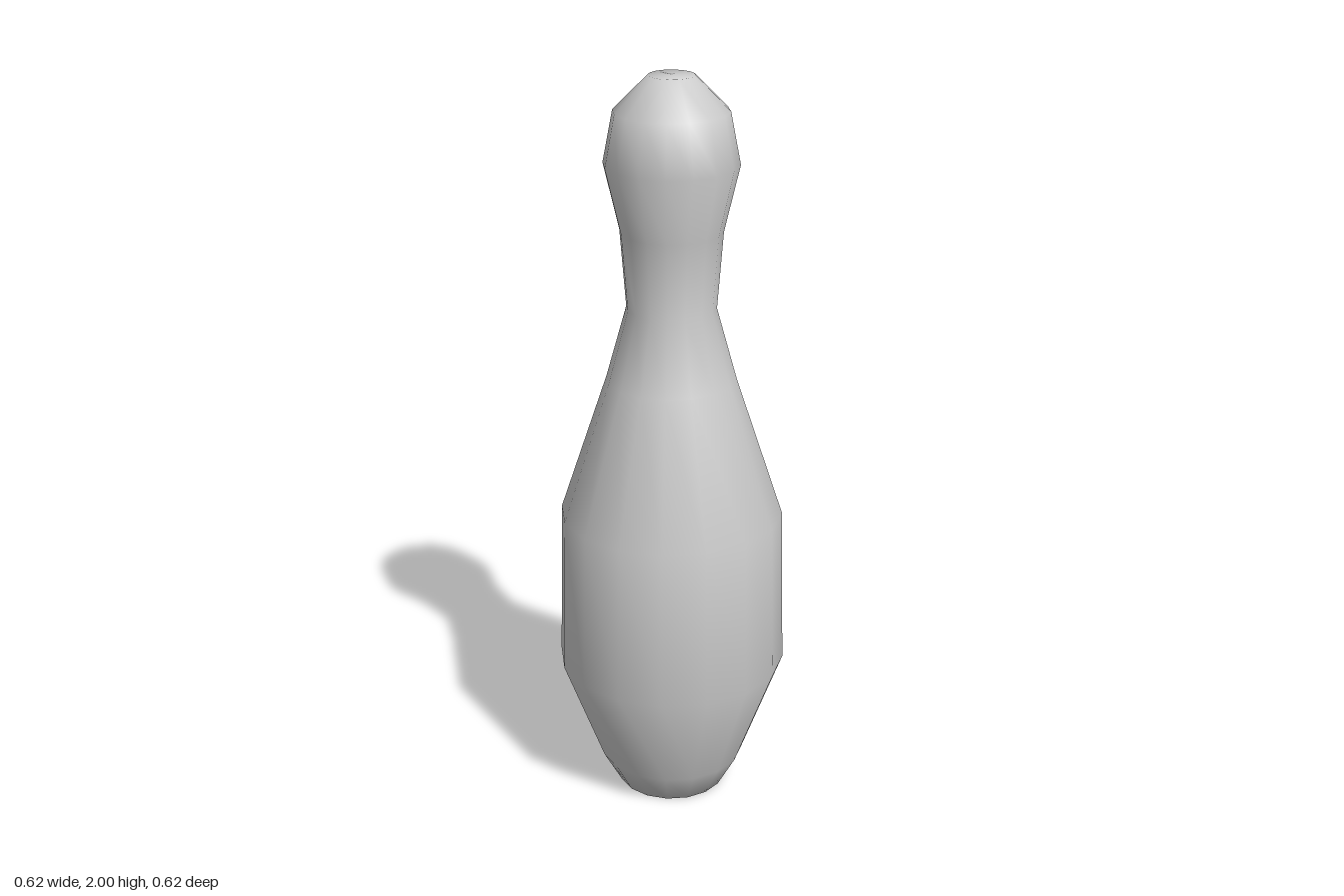
import * as THREE from 'three';

// Smooth, 16-sided turned skittle
export function createModel() {
  const group = new THREE.Group();
  group.name = 'bowlingPin';

  // Radius and height, from the centre of the base to the crown
  const profile = [
    [0, 0], [0.147, 0], [0.197, 0.09], // base
    [0.308, 0.385], [0.298, 0.82], // belly
    [0.172, 1.2], [0.118, 1.395], [0.134, 1.6], // shoulder and neck
    [0.175, 1.775], [0.149, 1.91], [0.06, 2], [0, 2], // head
  ].map(([r, y]) => new THREE.Vector2(r, y));

  const pin = new THREE.Mesh(
    new THREE.LatheGeometry(profile, 16),
    new THREE.MeshStandardMaterial({ color: 0xcccccc })
  );
  pin.name = 'pinBody';
  group.add(pin);
  return group;
}
